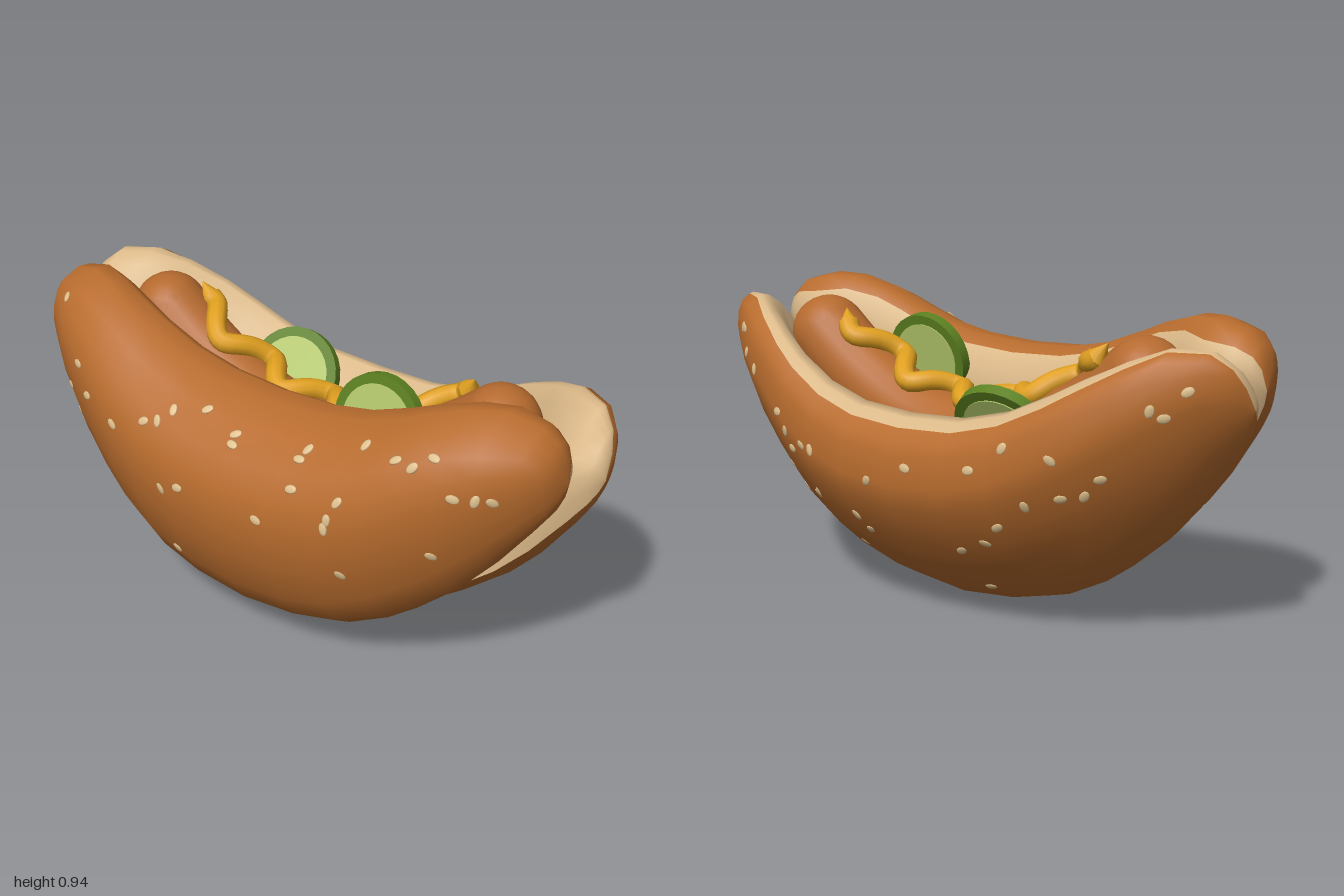
import * as THREE from 'three';

const mat = (name, color) => {
  const m = new THREE.MeshStandardMaterial({ color });
  m.name = name;
  return m;
};

// Half of the long axis: station, width factor, blend to the closed end section (mirrored towards -z)
const STATION = [0, .2, .36, .5, .6, .72, .82, .92, .97, .992, 1];
const WIDTH = [1, .98, .935, .87, .8, .69, .57, .4, .26, .14, 0];
const CLOSE = [0, 0, 0, 0, .08, .35, .85, 1, 1, 1, 1];

// Sections run from the bottom seam over the crust, then down the crumb;
// endTail replaces their last points where the bun closes at its ends
const leftHalf = {
  name: 'leftBunHalf', tipX: .05, length: 1, flip: false, seed: 7,
  bottom: [0, .02, .06, .13, .2, .3, .41, .55, .63, .68, .72],
  top: [.63, .64, .68, .745, .8, .86, .897, .89, .845, .79, .72],
  crust: [[-.1, .06], [-.04, .02], [.04, 0], [.12, .015], [.22, .07], [.33, .16], [.41, .26], [.465, .36],
    [.48, .43], [.47, .52], [.45, .565], [.42, .595]],
  crumb: [[.39, .622], [.35, .63], [.31, .58], [.25, .49], [.17, .42], [0, .42], [-.065, .3], [-.1, .06]],
  endTail: [[.42, .59], [.34, .622], [.3, .63], [.24, .62], [.14, .58], [.04, .51], [-.06, .43], [-.12, .33],
    [-.13, .2], [-.1, .06]],
};
const rightHalf = {
  name: 'rightBunHalf', tipX: -.08, length: .955, flip: true, seed: 23,
  bottom: [.06, .075, .11, .18, .25, .35, .46, .59, .66, .71, .75],
  top: [.775, .785, .815, .865, .905, .94, .945, .92, .88, .83, .75],
  crust: [[-.09, .07], [-.18, .06], [-.27, .07], [-.35, .12], [-.41, .21], [-.46, .34], [-.48, .47], [-.465, .57],
    [-.42, .66], [-.34, .73], [-.24, .77], [-.16, .775], [-.115, .75]],
  crumb: [[-.08, .7], [-.06, .64], [-.05, .55], [-.05, .45], [-.06, .3], [-.075, .15], [-.09, .07]],
  endTail: [[-.16, .775], [-.04, .76], [.06, .68], [.09, .62], [.11, .57], [.12, .5], [.1, .4], [.05, .28],
    [-.03, .15], [-.09, .07]],
};

function random(seed) {
  return () => (seed = (seed * 16807) % 2147483647) / 2147483647;
}

// Rings of points along z, each the section scaled to the bun outline
function bunRings(half) {
  const section = [...half.crust, ...half.crumb];
  const closed = [...section.slice(0, -half.endTail.length), ...half.endTail];
  const ys = section.map(p => p[1]);
  const low = Math.min(...ys), high = Math.max(...ys);
  const rings = [];
  for (let k = -10; k <= 10; k++) {
    const i = Math.abs(k);
    rings.push(section.map((p, j) => {
      const [x, y] = p.map((v, a) => THREE.MathUtils.lerp(v, closed[j][a], CLOSE[i]));
      return new THREE.Vector3(
        half.tipX + (x - half.tipX) * WIDTH[i],
        half.bottom[i] + (y - low) / (high - low) * (half.top[i] - half.bottom[i]),
        Math.sign(k) * STATION[i] * half.length);
    }));
  }
  return rings;
}

function bunGeometry(half, rings) {
  const n = rings[0].length, edge = half.crust.length - 1;
  const geo = new THREE.BufferGeometry().setFromPoints(rings.flat());
  const index = [];
  const strip = (from, to, material) => {
    const start = index.length;
    for (let i = 0; i < rings.length - 1; i++) {
      for (let j = from; j < to; j++) {
        const a = i * n + j, b = a + 1, c = a + n, d = c + 1;
        if (half.flip) index.push(a, c, b, b, c, d);
        else index.push(a, b, c, b, d, c);
      }
    }
    geo.addGroup(start, index.length - start, material);
  };
  strip(0, edge, 0);
  strip(edge, n - 1, 1);
  geo.setIndex(index);
  geo.computeVertexNormals();
  return geo;
}

// Flattened seeds scattered over the outer crust
function seeds(half, rings, material) {
  const group = new THREE.Group();
  group.name = 'sesameSeeds';
  const rnd = random(half.seed);
  const geo = new THREE.SphereGeometry(1, 8, 6);
  for (let s = 0; s < 34; s++) {
    const i = 3 + Math.floor(rnd() * 14), j = 4 + Math.floor(rnd() * 5);
    const a = rings[i][j], b = rings[i][j + 1], c = rings[i + 1][j], d = rings[i + 1][j + 1];
    const u = rnd(), v = rnd();
    const p = a.clone().lerp(b, u).lerp(c.clone().lerp(d, u), v);
    const normal = b.clone().sub(a).cross(c.clone().sub(a)).normalize();
    if (half.flip) normal.negate();
    const seed = new THREE.Mesh(geo, material);
    seed.name = 'seed';
    seed.position.copy(p);
    seed.quaternion.setFromUnitVectors(new THREE.Vector3(0, 0, 1), normal);
    seed.rotateZ(rnd() * 3);
    seed.scale.set(.014, .02, .004);
    group.add(seed);
  }
  return group;
}

export function createModel() {
  const crust = mat('bun crust', 0xb86c2e);
  const crumb = mat('bun crumb', 0xdab888);
  const meat = mat('sausage', 0xb56a2f);
  const yellow = mat('mustard', 0xe0a020);
  const rind = mat('pickle rind', 0x5c8020);
  const flesh = mat('pickle flesh', 0xb4c86c);
  const sesame = mat('sesame', 0xdfc08e);

  const model = new THREE.Group();
  model.name = 'hotDog';
  const add = (name, geo, material, parent = model) => {
    const m = new THREE.Mesh(geo, material);
    m.name = name;
    parent.add(m);
    return m;
  };

  // Bun
  for (const half of [leftHalf, rightHalf]) {
    const rings = bunRings(half);
    add(half.name, bunGeometry(half, rings), [crust, crumb]);
    model.add(seeds(half, rings, sesame));
  }

  // Sausage: bent tube with round ends
  const R = .125, CX = .065;
  const heightAt = z => .5 + .66 * z * z;
  const spine = [];
  for (let k = -8; k <= 8; k++) spine.push(new THREE.Vector3(CX, heightAt(k * .08), k * .08));
  const sausage = new THREE.Group();
  sausage.name = 'sausage';
  model.add(sausage);
  add('sausageBody', new THREE.TubeGeometry(new THREE.CatmullRomCurve3(spine), 32, R, 20), meat, sausage);
  for (const z of [-.64, .64]) {
    add('sausageEnd', new THREE.SphereGeometry(R, 20, 14), meat, sausage).position.set(CX, heightAt(z), z);
  }

  // Mustard: wave lying on top of the sausage, with upturned pointed ends
  const wave = [];
  for (let z = -.52; z <= .501; z += .02) {
    const x = .075 + .055 * Math.cos(2 * Math.PI * (z + .02) / .245);
    const lift = Math.sqrt(R * R - (x - CX) ** 2) * Math.hypot(1, 1.32 * z) + .02;
    wave.push(new THREE.Vector3(x, heightAt(z) + lift, z));
  }
  const wavePath = new THREE.CatmullRomCurve3(wave);
  const mustard = new THREE.Group();
  mustard.name = 'mustard';
  model.add(mustard);
  add('mustardLine', new THREE.TubeGeometry(wavePath, 120, .034, 10), yellow, mustard);
  for (const [t, dir] of [[0, -1], [1, 1]]) {
    const out = wavePath.getTangent(t).multiplyScalar(dir);
    out.y += .4;
    out.normalize();
    const tip = add('mustardTip', new THREE.ConeGeometry(.034, .06, 10), yellow, mustard);
    tip.quaternion.setFromUnitVectors(new THREE.Vector3(0, 1, 0), out);
    tip.position.copy(wavePath.getPoint(t)).addScaledVector(out, .025);
  }

  // Pickle slices: dark rind with a pale plate on both faces
  const pickle = (name, r, pos, axis) => {
    const g = new THREE.Group();
    g.name = name;
    add('rind', new THREE.CylinderGeometry(r, r, .036, 28), rind, g);
    add('flesh', new THREE.CylinderGeometry(r * .8, r * .8, .042, 28), flesh, g);
    g.position.set(...pos);
    g.quaternion.setFromUnitVectors(new THREE.Vector3(0, 1, 0), new THREE.Vector3(...axis).normalize());
    model.add(g);
  };
  pickle('leftPickle', .16, [.21, .59, -.24], [.83, -.52, -.12]);
  pickle('rightPickle', .15, [-.045, .71, .29], [.97, -.2, -.05]);

  return model;
}
